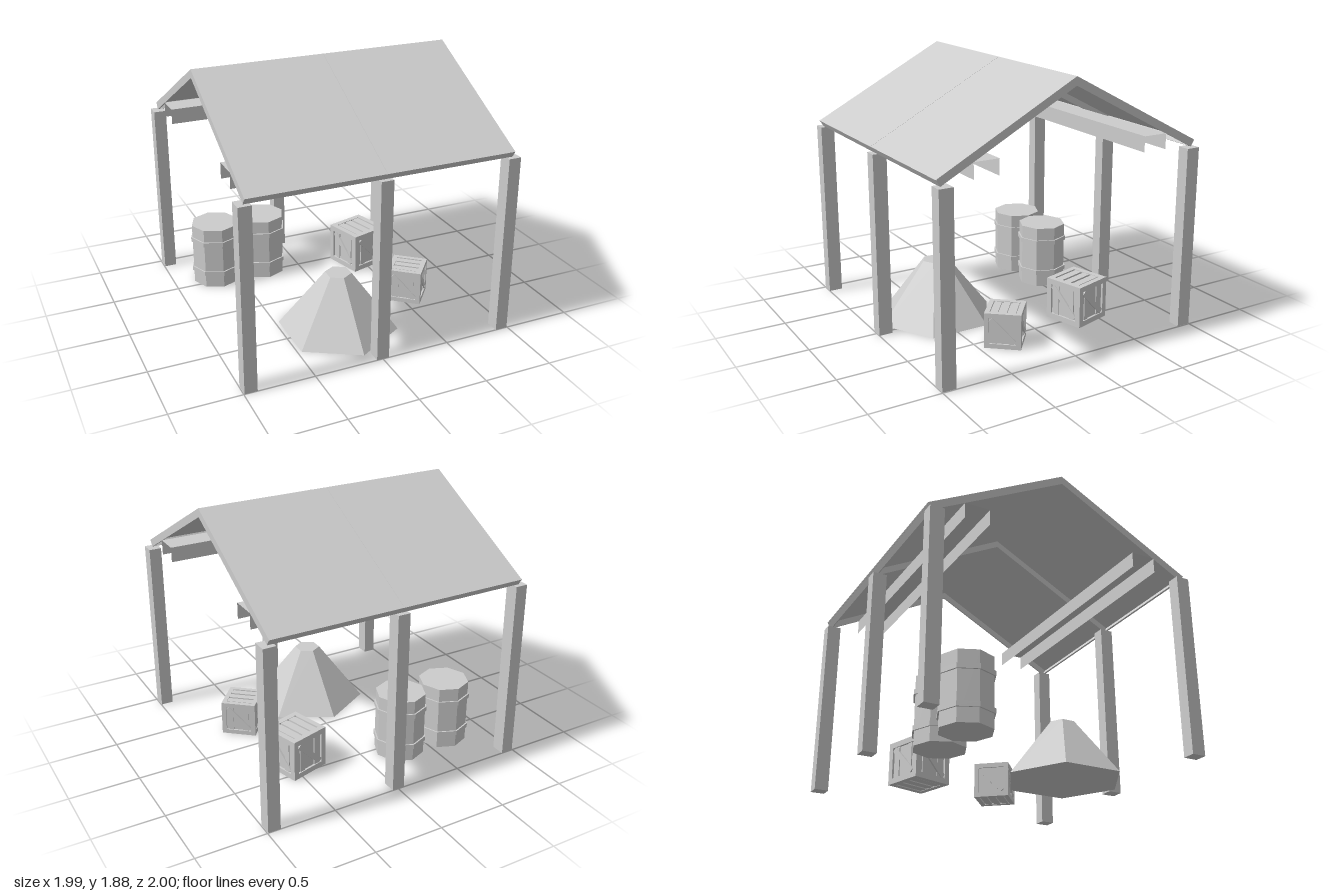
import * as THREE from 'three';

const grey = new THREE.MeshStandardMaterial({ color: 0xcccccc, flatShading: true });
grey.name = 'plainGrey';
const greySheet = new THREE.MeshStandardMaterial({ color: 0xcccccc, flatShading: true, side: THREE.DoubleSide });
greySheet.name = 'plainGreySheet';

function add(parent, name, geometry, x = 0, y = 0, z = 0, material = grey) {
  const mesh = new THREE.Mesh(geometry, material);
  mesh.name = name;
  mesh.position.set(x, y, z);
  parent.add(mesh);
  return mesh;
}
const box = (w, h, d) => new THREE.BoxGeometry(w, h, d);

// Sloping strip drawn in the (z, y) plane and extruded along x
function slopeStrip(points, width) {
  const shape = new THREE.Shape(points.map(([z, y]) => new THREE.Vector2(-z, y)));
  return new THREE.ExtrudeGeometry(shape, { depth: width, bevelEnabled: false })
    .translate(0, 0, -width / 2).rotateY(Math.PI / 2);
}

// One roof slope: two thin panels on three rafters, with an eave board
function roofSlope() {
  const g = new THREE.Group();
  g.name = 'roofSlope';
  const panel = slopeStrip([[0, 1.88], [0.995, 1.355], [0.99, 1.347], [0, 1.87]], 0.948);
  const rafter = slopeStrip([[0, 1.872], [0.99, 1.35], [0.965, 1.31], [0, 1.82]], 0.012);
  const eave = slopeStrip([[0.98, 1.355], [0.99, 1.35], [0.965, 1.31], [0.955, 1.315]], 1.9);
  for (const x of [-0.475, 0.475]) add(g, 'roofPanel', panel, x);
  for (const x of [-0.943, 0, 0.943]) add(g, 'rafter', rafter, x);
  add(g, 'eaveBoard', eave);
  return g;
}

// Open channel under the roof: a top sheet and two hanging sides
function purlin(z) {
  const g = new THREE.Group();
  g.name = 'purlin';
  const side = new THREE.PlaneGeometry(1.9, 0.11);
  const top = new THREE.PlaneGeometry(1.9, 0.18).rotateX(-Math.PI / 2);
  for (const s of [-1, 1]) add(g, 'purlinSide', side, 0, 1.375, z + s * 0.09, greySheet);
  add(g, 'purlinTop', top, 0, 1.43, z, greySheet);
  return g;
}

// Eight-sided barrel with two hoops
function barrel(x, z) {
  const g = new THREE.Group();
  g.name = 'barrel';
  add(g, 'barrelBody', new THREE.CylinderGeometry(0.181, 0.181, 0.478, 8), 0, 0.239, 0);
  for (const y of [0.116, 0.364]) {
    add(g, 'barrelHoop', new THREE.CylinderGeometry(0.192, 0.192, 0.034, 8), 0, y, 0);
  }
  g.position.set(x, 0, z);
  return g;
}

// Crate: recessed core, with framed and braced faces
function crate(size, x, z, turn) {
  const g = new THREE.Group();
  g.name = 'crate';
  const t = size * 0.05, w = size * 0.13, h = size / 2, inner = size - 2 * w;
  add(g, 'crateCore', box(size - 2 * t, size - 2 * t, size - 2 * t));
  const turns = [[0, 0], [0, 1], [0, 2], [0, 3], [1, 0], [-1, 0]];
  for (const [rx, ry] of turns) {
    const face = new THREE.Group();
    face.name = 'crateFace';
    face.rotation.set(rx * Math.PI / 2, ry * Math.PI / 2, 0);
    for (const s of [-1, 1]) {
      add(face, 'crateRail', box(size, w, t), 0, s * (h - w / 2), h - t / 2);
      add(face, 'crateStile', box(w, inner, t), s * (h - w / 2), 0, h - t / 2);
    }
    if (rx === 0) {
      // side planks and diagonal brace
      for (const s of [-1, 1]) {
        add(face, 'cratePlank', box(w, inner, t * 0.5), s * inner * 0.3, 0, h - t * 0.75);
      }
      add(face, 'crateBrace', box(inner * 1.25, w, t * 0.9), 0, 0, h - t * 0.55).rotation.z = -Math.PI / 4;
    } else {
      // lid and base planks
      for (const s of [-1, 0, 1]) {
        add(face, 'cratePlank', box(inner * 0.25, inner, t * 0.8), s * inner * 0.33, 0, h - t * 0.6);
      }
    }
    g.add(face);
  }
  g.position.set(x, h, z);
  g.rotation.y = turn;
  return g;
}

export function createModel() {
  const model = new THREE.Group();
  model.name = 'storageShelter';

  // Posts along both eaves
  for (const z of [-0.95, 0.95]) {
    for (const x of [-0.95, 0, 0.95]) add(model, 'post', box(0.09, 1.31, 0.1), x, 0.655, z);
  }

  // Roof
  const front = roofSlope();
  const back = roofSlope();
  back.rotation.y = Math.PI;
  model.add(front, back, purlin(-0.65), purlin(0.65));

  // Stored goods
  model.add(barrel(-0.665, -0.57), barrel(-0.288, -0.57));
  model.add(crate(0.305, 0.47, -0.38, 0.28), crate(0.255, 0.567, 0.285, 0.87));
  add(model, 'pile', new THREE.CylinderGeometry(0.095, 0.43, 0.43, 6), -0.098, 0.215, 0.48);
  return model;
}
